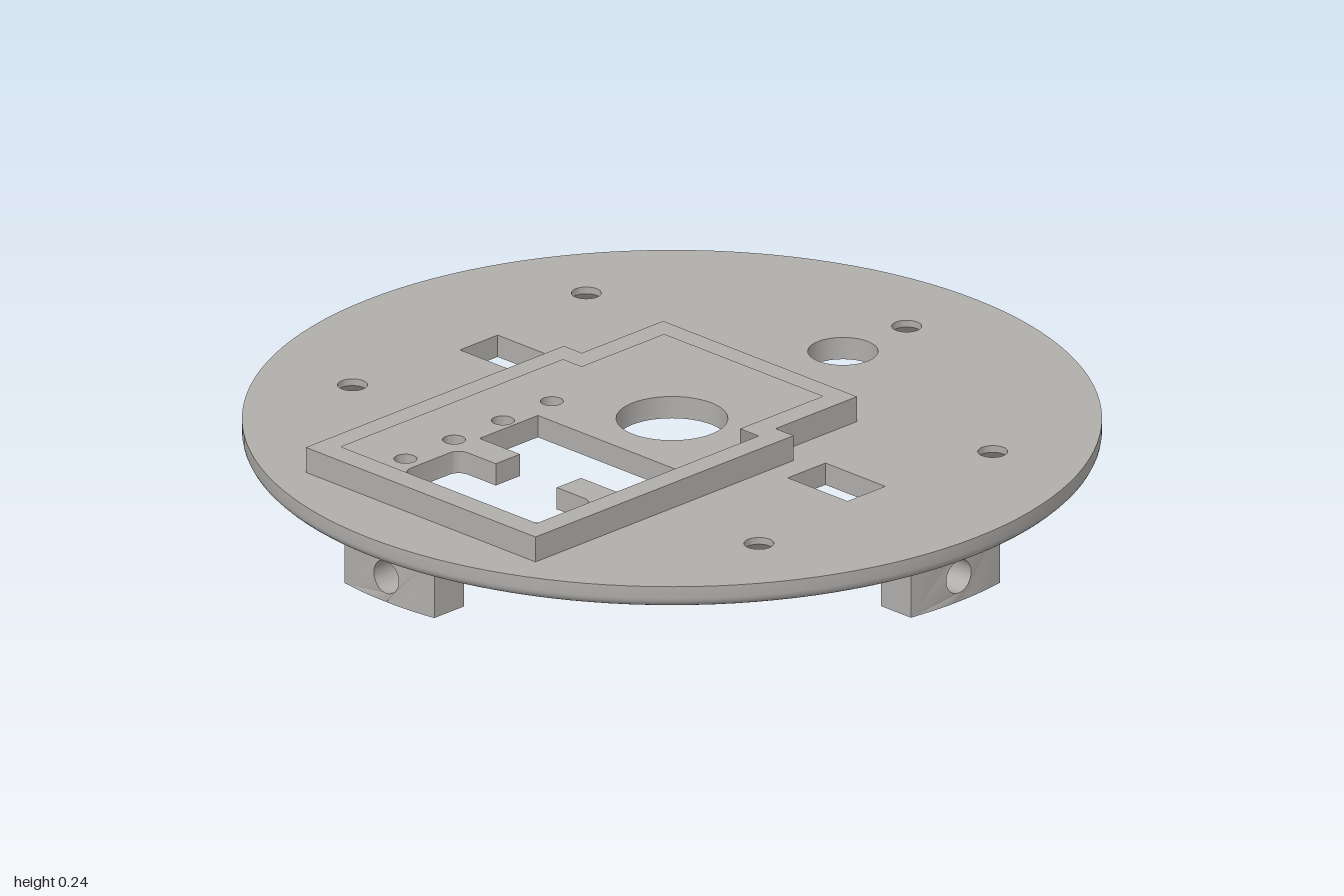
import * as THREE from 'three';
import { toCreasedNormals } from 'three/addons/utils/BufferGeometryUtils.js';

const BOTTOM = 0.125, TOP = 0.18, FRAME_TOP = 0.243;
const v = (x, z) => new THREE.Vector2(x, z);

// Loops are lists of (x, z) points, all turning the same way
function circle(x, z, r, n = 32) {
  return Array.from({ length: n }, (_, i) => {
    const a = (i / n) * Math.PI * 2;
    return v(x + r * Math.cos(a), z + r * Math.sin(a));
  });
}
const rect = (x0, z0, x1, z1) => [v(x0, z0), v(x1, z0), v(x1, z1), v(x0, z1)];

// Wall through a stack of [y, loop] rings, facing inwards when the rings rise
function wall(rings) {
  const pos = [];
  for (let k = 0; k < rings.length - 1; k++) {
    const [y0, lo] = rings[k], [y1, hi] = rings[k + 1];
    for (let i = 0; i < lo.length; i++) {
      const j = (i + 1) % lo.length;
      const a = [lo[i].x, y0, lo[i].y], b = [lo[j].x, y0, lo[j].y];
      const c = [hi[j].x, y1, hi[j].y], d = [hi[i].x, y1, hi[i].y];
      pos.push(...a, ...b, ...c, ...a, ...c, ...d);
    }
  }
  const g = new THREE.BufferGeometry();
  g.setAttribute('position', new THREE.Float32BufferAttribute(pos, 3));
  return toCreasedNormals(g, 0.5);
}

// Flat shape in the ground plane: sign -1 faces up, +1 faces down
function flatShape(outline, holes, sign) {
  const flip = (loop) => loop.map((p) => v(p.x, sign * p.y));
  const shape = new THREE.Shape(flip(outline));
  shape.holes = holes.map((h) => new THREE.Path(flip(h)));
  return shape;
}
function cap(outline, holes, sign, y) {
  return new THREE.ShapeGeometry(flatShape(outline, holes, sign))
    .rotateX((sign * Math.PI) / 2).translate(0, y, 0);
}

// Stepped window with two tabs and a rounded lower half
function windowLoop() {
  const s = new THREE.Shape(), r = 0.03, w = 0.222, z0 = 0.48, z1 = 0.668;
  s.moveTo(-0.233, 0.208);
  s.lineTo(0.233, 0.208);
  s.lineTo(0.233, 0.4);
  s.lineTo(0.1, 0.4);
  s.lineTo(0.1, z0);
  s.lineTo(w - r, z0);
  s.absarc(w - r, z0 + r, r, -Math.PI / 2, 0);
  s.absarc(w - r, z1 - r, r, 0, Math.PI / 2);
  s.absarc(-w + r, z1 - r, r, Math.PI / 2, Math.PI);
  s.absarc(-w + r, z0 + r, r, Math.PI, Math.PI * 1.5);
  s.lineTo(-0.1, z0);
  s.lineTo(-0.1, 0.4);
  s.lineTo(-0.233, 0.4);
  return s.getPoints(6);
}

// Mounting block: a drilled slab whose outer face follows the disc
function blockGeometry() {
  const w = 0.147, h = 0.127, n = 10, pts = [];
  for (let i = 0; i <= n; i++) pts.push(v(-w + (2 * w * i) / n, 0));
  for (let i = n; i >= 0; i--) pts.push(v(-w + (2 * w * i) / n, h));
  const shape = new THREE.Shape(pts);
  shape.holes.push(new THREE.Path(circle(0, 0.063, 0.041, 24)));
  const g = new THREE.ExtrudeGeometry(shape, { depth: 0.11, bevelEnabled: false });
  const p = g.attributes.position;
  for (let i = 0; i < p.count; i++) {
    const outer = p.getZ(i) > 0.05;
    p.setZ(i, outer ? Math.sqrt(0.942 ** 2 - p.getX(i) ** 2) : 0.832);
  }
  return toCreasedNormals(g, 0.5);
}

export function createModel() {
  const model = new THREE.Group();
  const grey = new THREE.MeshStandardMaterial({ color: 0xb0aeab });
  grey.name = 'warm grey';
  const add = (name, geometry, parent = model) => {
    const mesh = new THREE.Mesh(geometry, grey);
    mesh.name = name;
    parent.add(mesh);
    return mesh;
  };

  // Straight openings
  const straight = [circle(0, 0, 0.13, 48), circle(0, -0.563, 0.082), windowLoop()];
  for (const s of [-1, 1]) {
    straight.push(rect(s * 0.538 - 0.098, -0.064, s * 0.538 + 0.098, 0.06));
    for (const z of [0.125, 0.286, 0.447, 0.607]) straight.push(circle(s * 0.27, z, 0.027, 20));
    straight.push(circle(s * 0.161, 0.716, 0.027, 20));
  }

  // Screw holes, countersunk from below
  const screws = [[0, -0.773], [0.667, -0.387], [-0.667, -0.387], [0.667, 0.383], [-0.667, 0.383]];
  const narrow = screws.map(([x, z]) => circle(x, z, 0.035));
  const wide = screws.map(([x, z]) => circle(x, z, 0.068));

  // Round plate with a softened lower rim
  const plate = new THREE.Group();
  plate.name = 'basePlate';
  model.add(plate);
  const ring = (r) => circle(0, 0, r, 128);
  const soft = 0.025, rim = [[TOP, ring(1)]];
  for (let i = 0; i <= 5; i++) {
    const a = (i / 5) * (Math.PI / 2);
    rim.push([BOTTOM + soft * (1 - Math.sin(a)), ring(1 - soft * (1 - Math.cos(a)))]);
  }
  add('plateTop', cap(ring(1), [...straight, ...narrow], -1, TOP), plate);
  add('plateUnderside', cap(ring(1 - soft), [...straight, ...wide], 1, BOTTOM), plate);
  add('plateRim', wall(rim), plate);
  straight.forEach((loop) => add('openingWall', wall([[BOTTOM, loop], [TOP, loop]]), plate));
  narrow.forEach((loop, i) =>
    add('countersunkHole', wall([[BOTTOM, wide[i]], [0.163, loop], [TOP, loop]]), plate));

  // Raised stepped frame
  const stepped = (w0, w1, z0, z1, z2) => [
    v(-w0, z0), v(w0, z0), v(w0, z1), v(w1, z1), v(w1, z2), v(-w1, z2), v(-w1, z1), v(-w0, z1),
  ];
  const frameShape = flatShape(
    stepped(0.318, 0.377, -0.29, -0.022, 0.828),
    [stepped(0.26, 0.321, -0.235, 0.037, 0.768)], -1);
  add('raisedFrame', new THREE.ExtrudeGeometry(frameShape, { depth: FRAME_TOP - TOP, bevelEnabled: false })
    .rotateX(-Math.PI / 2).translate(0, TOP, 0));

  // Three blocks under the plate: front, left and right
  const block = blockGeometry();
  [['frontBlock', 0], ['leftBlock', 1], ['rightBlock', -1]].forEach(([name, turn]) => {
    add(name, block).rotation.y = (turn * Math.PI) / 2;
  });

  return model;
}
